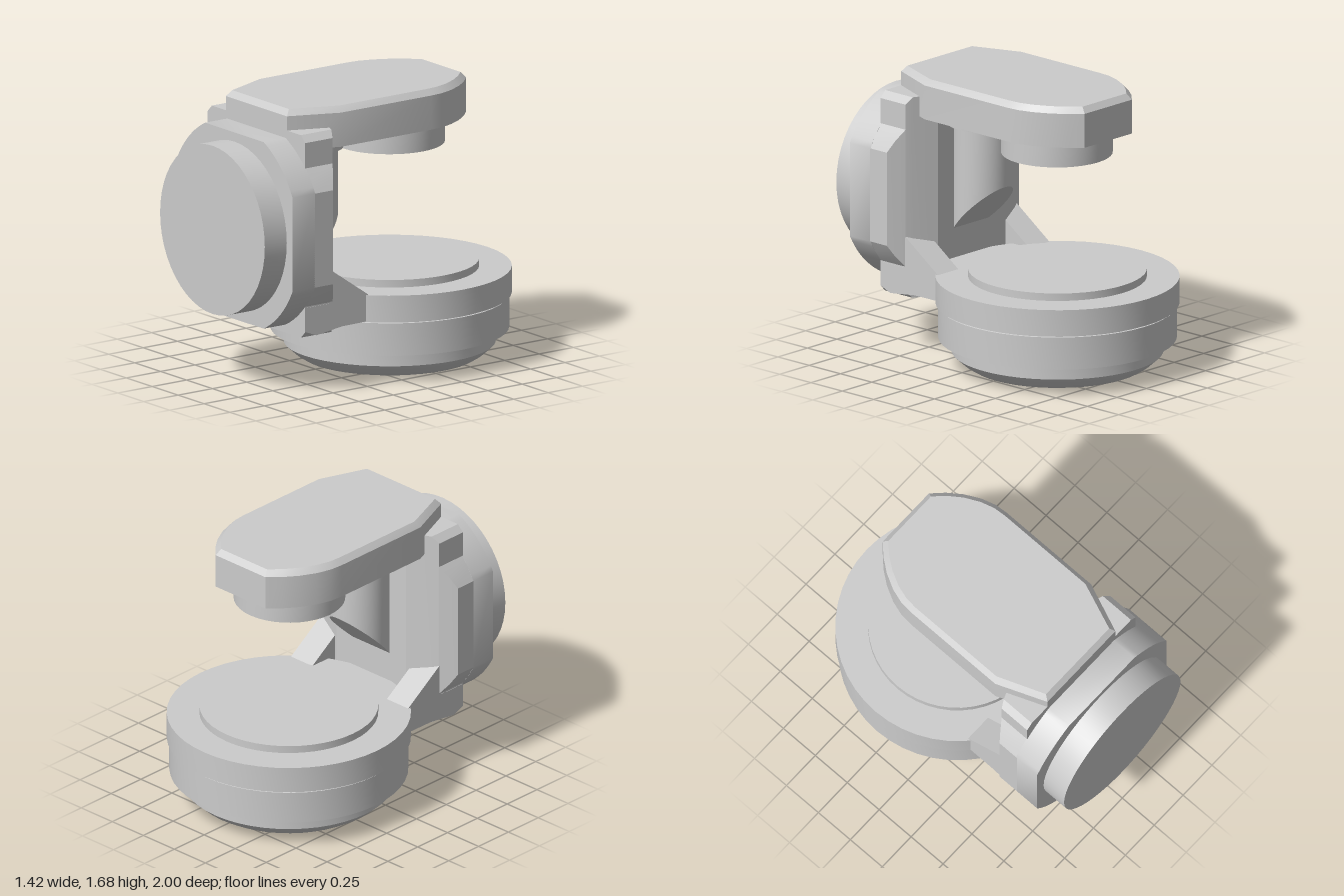
import * as THREE from 'three';
import { toCreasedNormals } from 'three/addons/utils/BufferGeometryUtils.js';

const material = new THREE.MeshStandardMaterial({ color: 0xcccccc });

function add(group, name, geometry, crease = 0.5) {
  const mesh = new THREE.Mesh(toCreasedNormals(geometry, crease), material);
  mesh.name = name;
  group.add(mesh);
  return mesh;
}

// Joins rings of points (counter-clockwise seen from the last ring) and caps both ends.
function loft(rings) {
  const pos = [];
  const tri = (...pts) => pts.forEach((p) => pos.push(...p));
  const n = rings[0].length;
  const centre = (r) => [0, 1, 2].map((i) => r.reduce((s, p) => s + p[i], 0) / n);
  const first = rings[0], last = rings[rings.length - 1];
  const c0 = centre(first), c1 = centre(last);
  for (let k = 0; k < n; k++) {
    const m = (k + 1) % n;
    for (let i = 0; i < rings.length - 1; i++) {
      const a = rings[i], b = rings[i + 1];
      tri(a[k], a[m], b[m]);
      tri(a[k], b[m], b[k]);
    }
    tri(c0, first[m], first[k]);
    tri(c1, last[k], last[m]);
  }
  const geometry = new THREE.BufferGeometry();
  geometry.setAttribute('position', new THREE.Float32BufferAttribute(pos, 3));
  geometry.computeVertexNormals();
  return geometry;
}

// Extrudes a side outline of [z, y] points from x0 to x1.
function sideSlab(points, x0, x1) {
  const shape = new THREE.Shape(points.map(([z, y]) => new THREE.Vector2(-z, y)));
  const geometry = new THREE.ExtrudeGeometry(shape, { depth: x1 - x0, bevelEnabled: false });
  return geometry.rotateY(Math.PI / 2).translate(x0, 0, 0);
}

export function createModel() {
  const model = new THREE.Group();
  const baseZ = -0.29, dialY = 0.953, clipR = 0.627, halfW = 0.56;

  // Round base with rounded foot, groove and raised top disc
  const profile = [
    [0, 0], [0.47, 0], [0.515, 0.012], [0.56, 0.04], [0.617, 0.092], [0.617, 0.175],
    [0.695, 0.175], [0.695, 0.37], [0.685, 0.372], [0.685, 0.38], [0.71, 0.382],
    [0.71, 0.54], [0.52, 0.54], [0.52, 0.585], [0, 0.585],
  ].map(([x, y]) => new THREE.Vector2(x, y));
  add(model, 'base', new THREE.LatheGeometry(profile, 48).translate(0, 0, baseZ), 0.35);

  // Upright body: stations across x of [x, bottom, top, back]
  const arc = (x) => Math.sqrt(clipR * clipR - x * x);
  const half = [
    [0.28, 0.345, 1.56, 0.4],
    [0.43, 0.345, 1.56, 0.46],
    [0.47, 0.385, 1.52, 0.48],
    [0.47, dialY - arc(0.47), dialY + arc(0.47), 0.48],
    [0.52, dialY - arc(0.52), dialY + arc(0.52), 0.515],
    [halfW, dialY - arc(halfW), dialY + arc(halfW), 0.545],
  ];
  const stations = [...half.map(([x, ...r]) => [-x, ...r]).reverse(), ...half];
  add(model, 'body', loft(stations.map(([x, y0, y1, z]) => [
    [x, y0, z], [x, y1, z], [x, y1, 0.68], [x, y0, 0.68],
  ])), 0.15);

  // Clipped round plate and the dial on the front
  const plate = new THREE.Shape();
  const a = Math.acos(halfW / clipR);
  for (let q = 0; q < 4; q++) {
    const start = q * Math.PI / 2;
    plate.absarc(0, 0, clipR, start + a, start + Math.PI / 2 - a, false);
  }
  plate.closePath();
  add(model, 'frontPlate', new THREE.ExtrudeGeometry(plate, {
    depth: 0.165, bevelEnabled: false, curveSegments: 5,
  }).translate(0, dialY, 0.675));
  add(model, 'dial', new THREE.CylinderGeometry(0.505, 0.505, 0.17, 48)
    .rotateX(Math.PI / 2).translate(0, dialY, 0.915));

  // Neck joining body and base, with a gusset on each side
  add(model, 'neck', sideSlab([
    [0.66, 0.36], [0.6, 0.347], [0.41, 0.38], [0.25, 0.382], [0.25, 0.5], [0.66, 0.5],
  ].reverse(), -0.43, 0.43));
  for (const [name, x] of [['leftGusset', 0.3], ['rightGusset', -0.472]]) {
    add(model, name, sideSlab([
      [0.675, 0.385], [0.6, 0.355], [0.41, 0.38], [0.22, 0.382], [0.22, 0.54],
      [0.48, 0.72], [0.5, 0.53], [0.675, 0.53],
    ].reverse(), x, x + 0.172));
  }

  // Overhead arm: plan outline of [x, z], bevelled along the top
  const side = [
    [0.2, -0.695], [0.27, -0.625], [0.33, -0.545], [0.38, -0.45],
    [0.408, -0.36], [0.415, -0.28], [0.415, 0.38], [0.295, 0.68],
  ];
  const outline = [...side.map(([x, z]) => [-x, z]), ...[...side].reverse()];
  const armRing = (y, inset) => outline.map(([x, z]) =>
    [x * (1 - inset / 0.415), y, z * (1 - inset / 0.69)]);
  add(model, 'arm', loft([armRing(1.44, 0), armRing(1.645, 0), armRing(1.68, 0.03)]), 0.4);

  // Round head under the arm
  add(model, 'head', new THREE.CylinderGeometry(0.325, 0.325, 0.16, 40)
    .translate(0, 1.37, baseZ + 0.005));

  // Column under the arm, its foot cut at a slant
  const column = new THREE.CylinderGeometry(0.175, 0.175, 0.8, 32).translate(0, 1.05, 0.305);
  const p = column.attributes.position;
  for (let i = 0; i < p.count; i++) {
    if (p.getY(i) < 1) p.setY(i, 1.12 - p.getZ(i));
  }
  column.computeVertexNormals();
  add(model, 'column', column);

  // Collar around the column and its short tongue
  add(model, 'collar', new THREE.CylinderGeometry(0.205, 0.205, 0.1, 32).translate(0, 1.395, 0.305));
  add(model, 'collarTongue', new THREE.BoxGeometry(0.24, 0.1, 0.3).translate(0, 1.395, 0.15));

  return model;
}
